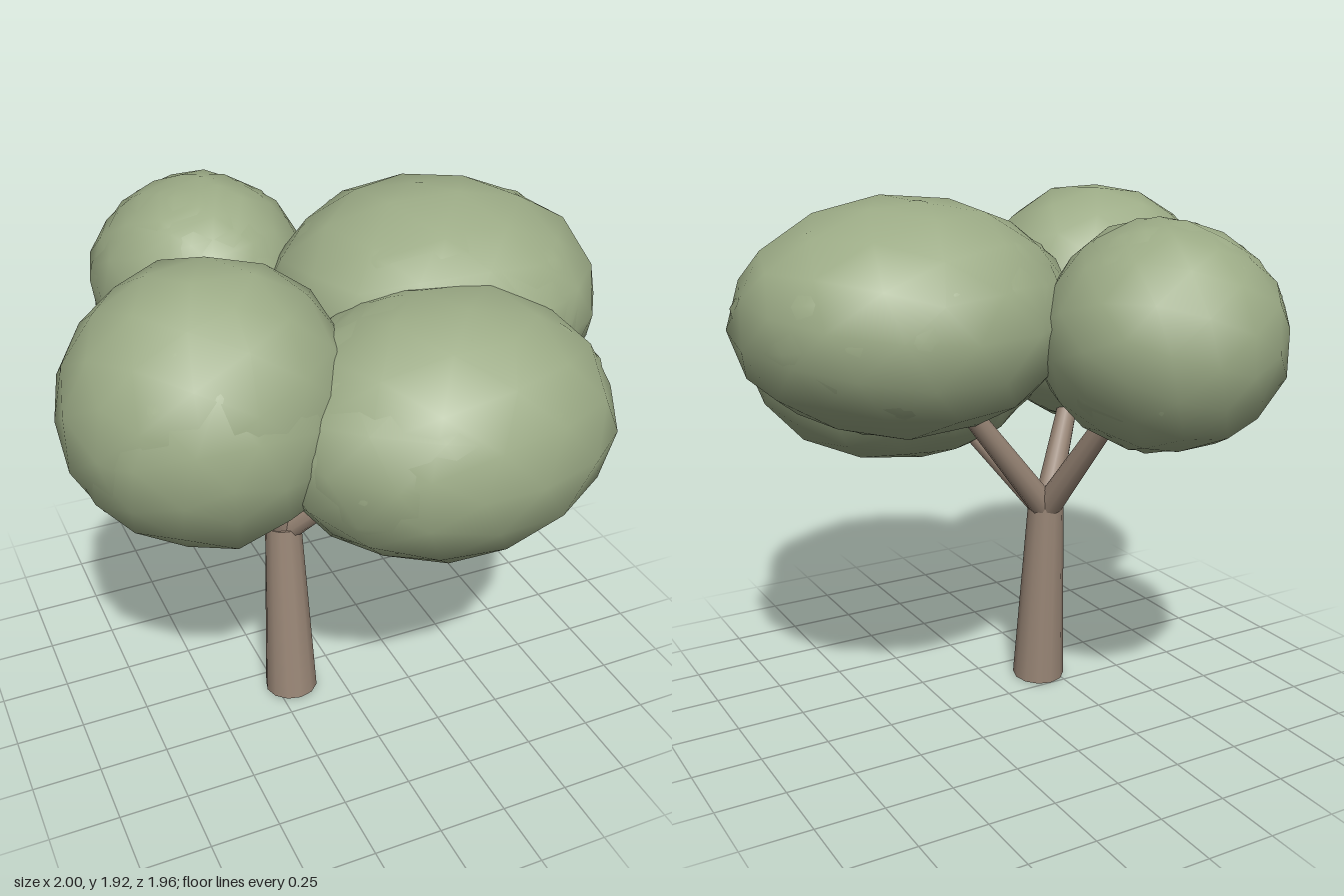
import * as THREE from 'three';
import { mergeVertices } from 'three/addons/utils/BufferGeometryUtils.js';

const V = (p) => new THREE.Vector3(...p);

function seededRandom(seed) {
  let s = seed * 7919 + 17;
  return () => {
    s = (s * 16807) % 2147483647;
    return s / 2147483647;
  };
}

// Smooth, slightly irregular low-poly ball stretched to fill a box
function leafBall(min, max, seed) {
  const rand = seededRandom(seed);
  let g = new THREE.IcosahedronGeometry(1, 2);
  g.deleteAttribute('normal');
  g.deleteAttribute('uv');
  g = mergeVertices(g, 1e-3);
  g.rotateX(rand() * 3).rotateZ(rand() * 3);
  const pos = g.attributes.position;
  const v = new THREE.Vector3();
  for (let i = 0; i < pos.count; i++) {
    v.fromBufferAttribute(pos, i).multiplyScalar(0.975 + rand() * 0.05);
    pos.setXYZ(i, v.x, v.y, v.z);
  }
  g.computeBoundingBox();
  const from = g.boundingBox.getCenter(new THREE.Vector3());
  const size = g.boundingBox.getSize(new THREE.Vector3());
  const lo = V(min), hi = V(max);
  const scale = hi.clone().sub(lo).divide(size);
  const to = lo.add(hi).multiplyScalar(0.5);
  g.translate(-from.x, -from.y, -from.z);
  g.scale(scale.x, scale.y, scale.z);
  g.translate(to.x, to.y, to.z);
  g.computeVertexNormals();
  return g;
}

// Tapered round limb between two points
function limb(a, b, r0, r1, sides) {
  const start = V(a), end = V(b);
  const dir = end.clone().sub(start);
  const g = new THREE.CylinderGeometry(r1, r0, dir.length(), sides);
  g.applyQuaternion(new THREE.Quaternion().setFromUnitVectors(
    new THREE.Vector3(0, 1, 0), dir.clone().normalize()));
  const mid = start.add(end).multiplyScalar(0.5);
  return g.translate(mid.x, mid.y, mid.z);
}

export function createModel() {
  const model = new THREE.Group();
  model.name = 'tree';
  const bark = new THREE.MeshStandardMaterial({ color: 0x9a8777 });
  bark.name = 'bark';
  const leaf = new THREE.MeshStandardMaterial({ color: 0x9cab86 });
  leaf.name = 'leaf green';

  const add = (name, geometry, material) => {
    const mesh = new THREE.Mesh(geometry, material);
    mesh.name = name;
    model.add(mesh);
  };

  // Trunk, leaning a little backwards
  add('trunk', limb([-0.19, 0.004, 0.1], [-0.193, 0.74, 0.055], 0.1, 0.067, 12), bark);

  // Branches, one for each clump
  const fork = [-0.19, 0.71, 0.05];
  const branches = {
    branchLeft: [0.22, 1.22, -0.01],
    branchFront: [0.02, 1.0, 0.27],
    branchRight: [-0.38, 1.2, 0.16],
    branchBack: [-0.27, 1.25, -0.36],
  };
  for (const [name, end] of Object.entries(branches)) {
    add(name, limb(fork, end, 0.052, 0.034, 10), bark);
  }

  // Leaf clumps, each an outer ball with a second one breaking its surface
  const clumps = [
    ['leavesLeft', [-0.16, 1.12, -0.57], [1.0, 1.92, 0.53], [0.0, 0, 0.01]],
    ['leavesFront', [-0.4, 0.88, -0.03], [0.78, 1.75, 0.98], [0, 0.0, -0.01]],
    ['leavesRight', [-1.0, 0.98, -0.18], [-0.05, 1.89, 0.71], [0.0, -0.02, 0.02]],
    ['leavesBack', [-0.67, 1.09, -0.98], [0.14, 1.87, -0.12], [0, 0, 0.01]],
  ];
  clumps.forEach(([name, min, max, shift], i) => {
    add(name, leafBall(min, max, i + 1), leaf);
    const inner = leafBall(min, max, i + 11);
    const c = V(min).add(V(max)).multiplyScalar(0.5);
    inner.translate(-c.x, -c.y, -c.z).scale(0.98, 0.98, 0.98);
    inner.translate(c.x + shift[0], c.y + shift[1], c.z + shift[2]);
    add(name + 'Inner', inner, leaf);
  });

  return model;
}
